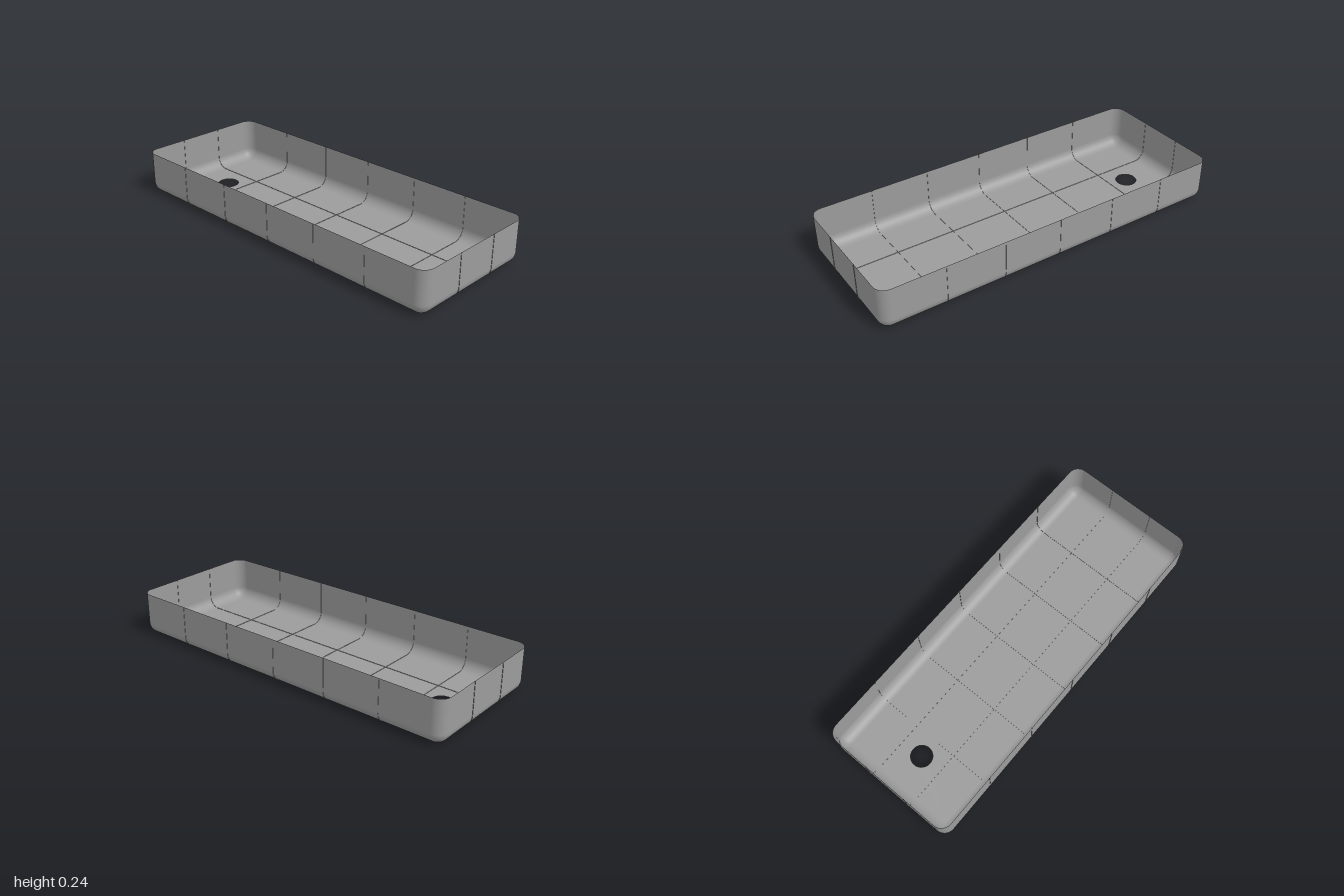
import * as THREE from 'three';

const SEAM = 0.002;               // how far the panel seams stand off the skin
const HX = 1 - SEAM, HZ = 0.383 - SEAM, H = 0.242 - SEAM, R = 0.06;
const material = new THREE.MeshStandardMaterial({ color: 0x9b9b9b, side: THREE.DoubleSide });

// Wall profile from floor edge to rim: r outward, y up, with its normal (nr, ny)
function wallProfile(steps = 10) {
  const p = [];
  for (let i = 0; i <= steps; i++) {
    const a = (i / steps) * Math.PI / 2, s = Math.sin(a), c = Math.cos(a);
    p.push({ r: R * s, y: R - R * c, nr: s, ny: -c });
  }
  p.push({ r: R, y: H, nr: 1, ny: 0 });
  return p;
}

// Surface through rows of equal length
function gridGeometry(rows, normals) {
  const n = rows[0].length, index = [];
  for (let j = 0; j < rows.length - 1; j++) {
    for (let i = 0; i < n - 1; i++) {
      const a = j * n + i, b = a + 1, c = a + n, d = c + 1;
      index.push(a, b, c, b, d, c);
    }
  }
  const g = new THREE.BufferGeometry();
  g.setAttribute('position', new THREE.Float32BufferAttribute(rows.flat(2), 3));
  g.setIndex(index);
  if (normals) g.setAttribute('normal', new THREE.Float32BufferAttribute(normals.flat(2), 3));
  else g.computeVertexNormals();
  return g;
}

// Walls swept round the four corners, with rounded foot and corners
function wallGeometry() {
  const profile = wallProfile(), rows = [], normals = [], steps = 10;
  const corners = [[1, 1], [-1, 1], [-1, -1], [1, -1], [1, 1]];
  corners.forEach(([sx, sz], q) => {
    for (let k = 0; k <= (q === 4 ? 0 : steps); k++) {
      const t = (q + k / steps) * Math.PI / 2, c = Math.cos(t), s = Math.sin(t);
      rows.push(profile.map(p => [sx * (HX - R) + c * p.r, p.y, sz * (HZ - R) + s * p.r]));
      normals.push(profile.map(p => [c * p.nr, p.ny, s * p.nr]));
    }
  });
  return gridGeometry(rows, normals);
}

// Floor with the round drain hole
function floorGeometry() {
  const x = HX - R, z = HZ - R;
  const shape = new THREE.Shape([[-x, -z], [x, -z], [x, z], [-x, z]].map(p => new THREE.Vector2(...p)));
  shape.holes.push(new THREE.Path().absarc(-0.76, 0, 0.058, 0, Math.PI * 2, true));
  return new THREE.ShapeGeometry(shape, 24).rotateX(Math.PI / 2);
}

// Hairline seam running from rim to rim in the x-y plane
function seamGeometry(half) {
  const side = wallProfile();
  const path = [
    ...side.slice().reverse().map(p => ({ x: -(half - R) - p.r, y: p.y, nx: -p.nr, ny: p.ny })),
    ...side.map(p => ({ x: half - R + p.r, y: p.y, nx: p.nr, ny: p.ny })),
  ];
  return gridGeometry([-SEAM, SEAM].map(o => path.map(p => [p.x + p.nx * o, p.y + p.ny * o, 0])));
}

export function createModel() {
  const model = new THREE.Group();
  model.name = 'tray';
  const add = (name, geometry) => {
    const mesh = new THREE.Mesh(geometry, material);
    mesh.name = name;
    mesh.position.y = SEAM;
    model.add(mesh);
    return mesh;
  };

  add('walls', wallGeometry());
  add('floor', floorGeometry());

  // Seams dividing the tray into six by three panels
  const long = seamGeometry(HX), cross = seamGeometry(HZ).rotateY(Math.PI / 2);
  for (const s of [-1, 1]) add('longSeam', long).position.z = s * 0.127;
  for (let i = -2; i <= 2; i++) add('crossSeam', cross).position.x = i * 0.327;

  return model;
}
